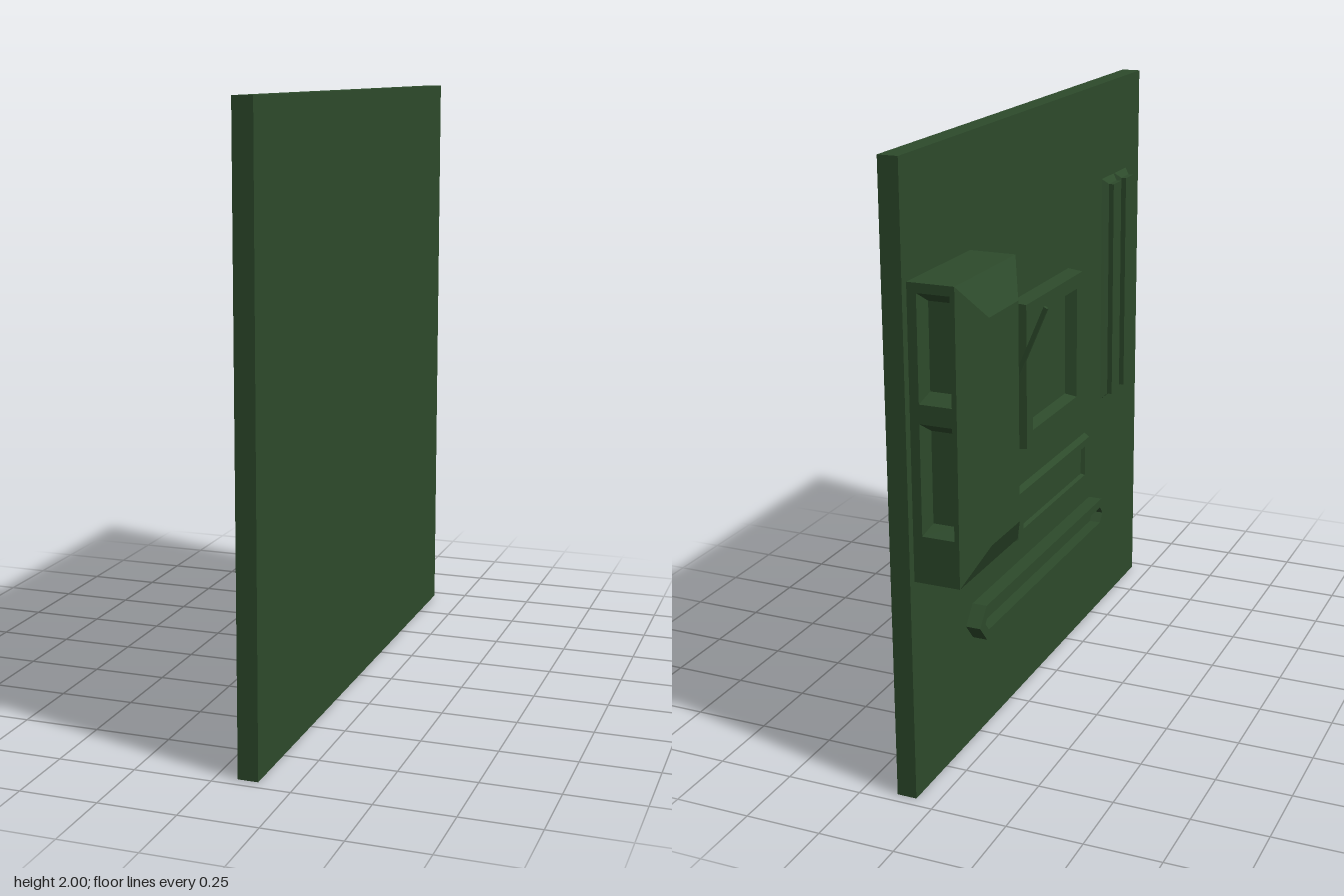
import * as THREE from 'three';

const boardGreen = new THREE.MeshStandardMaterial({ color: 0x2d4a2b });
boardGreen.name = 'boardGreen';

// Counter-clockwise outlines in the board plane
const rect = (x0, x1, y0, y1) => [[x0, y0], [x1, y0], [x1, y1], [x0, y1]];
const hex = (x0, x1, y0, y1) => {
  const m = (y0 + y1) / 2, c = (y1 - y0) / 2 * 0.85;
  return [[x0 + c, y0], [x1 - c, y0], [x1, m], [x1 - c, y1], [x0 + c, y1], [x0, m]];
};

// Skin a stack of [outline, height] rings and close the last one
function rings(stack) {
  const pos = [];
  const tri = (...pts) => pts.forEach(p => pos.push(...p));
  const loops = stack.map(([pts, h]) => pts.map(([x, y]) => [x, y, h]));
  for (let k = 0; k + 1 < loops.length; k++) {
    const a = loops[k], b = loops[k + 1], n = a.length;
    for (let i = 0; i < n; i++) {
      const j = (i + 1) % n;
      tri(a[i], a[j], b[j]);
      tri(a[i], b[j], b[i]);
    }
  }
  const top = loops[loops.length - 1];
  for (let i = 1; i + 1 < top.length; i++) tri(top[0], top[i], top[i + 1]);
  const g = new THREE.BufferGeometry();
  g.setAttribute('position', new THREE.Float32BufferAttribute(pos, 3));
  g.computeVertexNormals();
  return g;
}

export function createModel() {
  const model = new THREE.Group();
  model.name = 'circuitBoard';
  // Work with the component side facing local +z, then turn it to -x
  const face = new THREE.Group();
  face.name = 'componentSide';
  face.rotation.y = -Math.PI / 2;
  model.add(face);
  const add = (name, geometry) => {
    const m = new THREE.Mesh(geometry, boardGreen);
    m.name = name;
    face.add(m);
    return m;
  };
  const S = -0.07; // board surface height

  // Board
  add('board', new THREE.BoxGeometry(1.926, 2, 0.065).translate(0, 1, S - 0.0325));

  // Processor socket: raised frame with sunken middle
  add('processorSocket', rings([
    [rect(-0.225, 0.27, 0.905, 1.405), S],
    [rect(-0.22, 0.265, 0.91, 1.4), -0.015],
    [rect(-0.17, 0.215, 0.96, 1.35), -0.015],
    [rect(-0.16, 0.205, 0.97, 1.34), -0.055],
  ]));

  // Low chip tray
  add('chipTray', rings([
    [rect(-0.23, 0.43, 0.57, 0.75), S],
    [rect(-0.22, 0.42, 0.58, 0.74), -0.048],
    [rect(-0.18, 0.38, 0.605, 0.715), -0.048],
    [rect(-0.175, 0.375, 0.61, 0.71), -0.062],
  ]));

  // Expansion slot with pointed ends and a groove
  add('expansionSlot', rings([
    [hex(-0.59, 0.53, 0.36, 0.48), S],
    [hex(-0.59, 0.53, 0.36, 0.48), -0.02],
    [hex(-0.55, 0.49, 0.39, 0.45), -0.02],
    [hex(-0.55, 0.49, 0.39, 0.45), -0.06],
  ]));

  // Memory slots: narrow bars on flared feet
  for (const x of [0.645, 0.77]) {
    add('memorySlot', rings([
      [rect(x - 0.058, x + 0.058, 0.83, 1.66), S],
      [rect(x - 0.038, x + 0.038, 0.85, 1.64), -0.05],
      [rect(x - 0.038, x + 0.038, 0.85, 1.64), -0.032],
    ]));
  }

  // Socket lever and its base
  add('leverBase', rings([
    [rect(-0.27, -0.245, 1.08, 1.45), S],
    [rect(-0.262, -0.252, 1.1, 1.43), -0.055],
  ]));
  const from = new THREE.Vector3(-0.257, 1.08, S), to = new THREE.Vector3(-0.257, 1.41, 0.07);
  const lever = add('lever', new THREE.BoxGeometry(0.012, 0.014, from.distanceTo(to)));
  lever.position.copy(from).lerp(to, 0.5);
  lever.rotation.x = -Math.atan2(to.y - from.y, to.z - from.z);

  // Port housing: walls pierced by two openings, and a tapered roof
  const openings = [[0.87, 1.22], [1.28, 1.61]];
  const toShape = (C, pts) => new C(pts.map(([x, y]) => new THREE.Vector2(x, y)));
  const wall = toShape(THREE.Shape, rect(S, 0.08, 0.72, 1.64));
  for (const [y0, y1] of openings) wall.holes.push(toShape(THREE.Path, rect(-0.04, 0.065, y0, y1)));
  const walls = add('portHousing', new THREE.ExtrudeGeometry(wall, { depth: 0.42, bevelEnabled: false }).translate(0, 0, 0.515));
  walls.rotation.y = -Math.PI / 2;
  add('housingRoof', rings([
    [rect(-0.935, -0.515, 0.72, 1.64), 0.08],
    [rect(-0.83, -0.625, 0.83, 1.53), 0.137],
  ]));

  // Sunken pockets closing the openings at both ends
  for (const [side, end] of [[-1, 0.935], [1, -0.515]]) {
    for (const [y0, y1] of openings) {
      const c = -side * 0.0125;
      const pocket = add('portPocket', rings([
        [rect(c - 0.0525, c + 0.0525, y0, y1), end],
        [rect(c - 0.035, c + 0.035, y0 + 0.03, y1 - 0.03), end - 0.04],
      ]));
      pocket.rotation.y = side * Math.PI / 2;
    }
  }
  return model;
}
